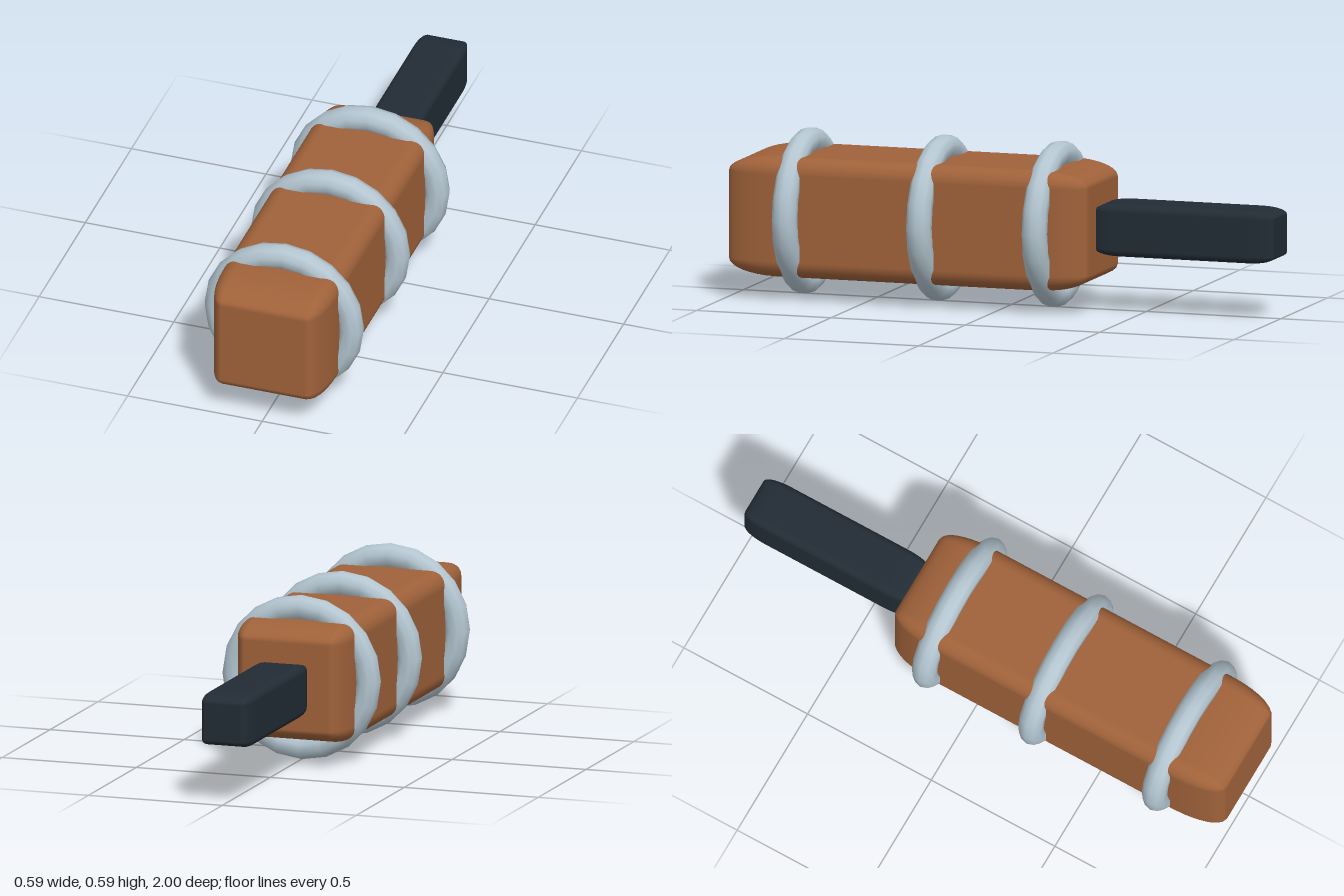
import * as THREE from 'three';
import { RoundedBoxGeometry } from 'three/addons/geometries/RoundedBoxGeometry.js';

const AXIS_Y = 0.297;

// Rounded unit cube stretched to size, so the rounding stretches along z
function stretchedBlock(name, size, z, radius, color) {
  const geometry = new RoundedBoxGeometry(1, 1, 1, 4, radius);
  geometry.scale(...size);
  const mesh = new THREE.Mesh(geometry, new THREE.MeshStandardMaterial({ color }));
  mesh.name = name;
  mesh.position.set(0, AXIS_Y, z);
  return mesh;
}

export function createModel() {
  const model = new THREE.Group();
  model.name = 'bandedMallet';

  // Wooden head and dark grip
  model.add(stretchedBlock('woodenHead', [0.43, 0.43, 1.34], 0.33, 0.14, 0xa0623a));
  model.add(stretchedBlock('handle', [0.186, 0.186, 0.67], -0.665, 0.14, 0x222c35));

  // Three metal bands around the head
  const bandGeometry = new THREE.TorusGeometry(0.25, 0.045, 10, 20);
  bandGeometry.rotateZ(Math.PI / 2);
  const bandMaterial = new THREE.MeshStandardMaterial({ color: 0xb4c6d1 });
  [0.76, 0.26, -0.17].forEach((z, i) => {
    const band = new THREE.Mesh(bandGeometry, bandMaterial);
    band.name = `metalBand${i + 1}`;
    band.position.set(0, AXIS_Y, z);
    model.add(band);
  });

  return model;
}
